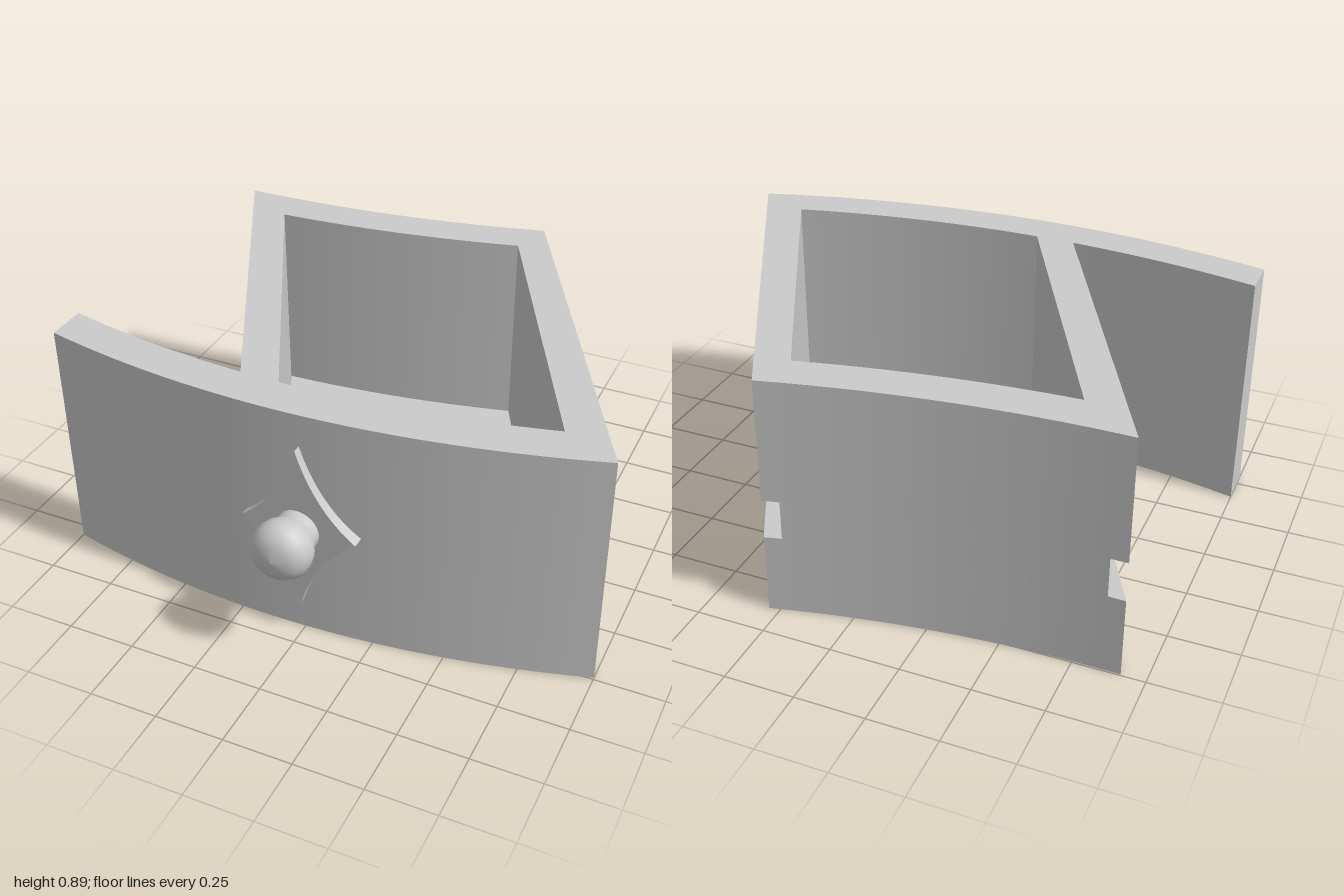
import * as THREE from 'three';
import { mergeGeometries, toCreasedNormals } from 'three/addons/utils/BufferGeometryUtils.js';

const H = 0.89, FLOOR = 0.13, SLOT_LOW = 0.295, SLOT_HIGH = 0.44, SLOT_DEPTH = 0.06;

// plan curves: z as a function of x
const frontOuter = x => 0.66 - 0.138 * (x + 0.108) ** 2;
const frontInner = x => frontOuter(x) - 0.15;
const backOuter = x => -0.744 - 0.115 * (x + 0.82) ** 2;
const backInner = x => backOuter(x) + 0.149;

// points [x, z] along a plan curve
function along(curve, x0, x1, n = 24) {
  return Array.from({ length: n + 1 }, (_, i) => {
    const x = x0 + (x1 - x0) * i / n;
    return [x, curve(x)];
  });
}

// vertical faces around a closed plan outline (inward: faces the inside)
function walls(outline, y0, y1, inward = false) {
  const pos = [];
  outline.forEach((p, i) => {
    let a = p, b = outline[(i + 1) % outline.length];
    if (inward) [a, b] = [b, a];
    pos.push(a[0], y0, a[1], b[0], y0, b[1], b[0], y1, b[1]);
    pos.push(a[0], y0, a[1], b[0], y1, b[1], a[0], y1, a[1]);
  });
  const g = new THREE.BufferGeometry();
  g.setAttribute('position', new THREE.Float32BufferAttribute(pos, 3));
  return g;
}

// horizontal face, looking up or down, with an optional hole
function cap(outline, y, up, hole) {
  const s = up ? -1 : 1;
  const toPlan = pts => pts.map(([x, z]) => new THREE.Vector2(x, z * s));
  const shape = new THREE.Shape(toPlan(outline));
  if (hole) shape.holes.push(new THREE.Path(toPlan(hole)));
  const g = new THREE.ShapeGeometry(shape).toNonIndexed();
  g.rotateX(s * Math.PI / 2).translate(0, y, 0);
  g.deleteAttribute('uv');
  g.deleteAttribute('normal');
  return g;
}

export function createModel() {
  const group = new THREE.Group();
  const material = new THREE.MeshStandardMaterial({ color: 0xcccccc });
  const add = (name, geometry) => {
    const mesh = new THREE.Mesh(geometry, material);
    mesh.name = name;
    group.add(mesh);
    return mesh;
  };

  // slanted drawer box whose curved front overhangs on one side
  const front = along(frontOuter, -1, 1);
  const overhang = along(frontInner, -0.29, -1, 12);
  const outline = [...front, ...along(backOuter, 0.29, -0.915), ...overhang];
  const cavity = [...along(frontInner, -0.145, 0.8), ...along(backInner, 0.24, -0.7)];

  // runner slots, cut from the back up to the inside of the front
  const rightSlot = [[0.93, frontInner(0.93)], [0.29, backOuter(0.29)],
    [0.29 - SLOT_DEPTH, backOuter(0.29 - SLOT_DEPTH)], [0.93 - SLOT_DEPTH, frontInner(0.93 - SLOT_DEPTH)]];
  const leftSlot = [[-0.915, backOuter(-0.915)], [-0.29, frontInner(-0.29)],
    [-0.29 + SLOT_DEPTH, frontInner(-0.29 + SLOT_DEPTH)], [-0.915 + SLOT_DEPTH, backOuter(-0.915 + SLOT_DEPTH)]];
  const slotted = [...front, rightSlot[0], rightSlot[3],
    ...along(backOuter, 0.29 - SLOT_DEPTH, -0.915 + SLOT_DEPTH), leftSlot[2], ...overhang];

  const faces = [
    walls(outline, 0, SLOT_LOW),
    walls(slotted, SLOT_LOW, SLOT_HIGH),
    walls(outline, SLOT_HIGH, H),
    walls(cavity, FLOOR, H, true),
    cap(outline, 0, false),
    cap(outline, H, true, cavity),
    cap(cavity, FLOOR, true),
  ];
  for (const slot of [rightSlot, leftSlot]) {
    faces.push(cap(slot, SLOT_LOW, true), cap(slot, SLOT_HIGH, false));
  }
  add('drawerBox', toCreasedNormals(mergeGeometries(faces), 0.4));

  // four-pointed plate with concave edges
  const w = 0.212, h = 0.32;
  const star = new THREE.Shape();
  star.moveTo(w, 0);
  for (const [cx, cy, x, y] of [[1, 1, 0, h], [-1, 1, -w, 0], [-1, -1, 0, -h], [1, -1, w, 0]]) {
    star.quadraticCurveTo(cx * 0.065, cy * 0.105, x, y);
  }
  const plate = new THREE.ExtrudeGeometry(star, { depth: 0.07, bevelEnabled: false, curveSegments: 10 });
  add('knobPlate', toCreasedNormals(plate, 0.4)).position.set(0, 0.45, 0.62);

  // turned knob, [radius, z] from neck to tip
  const profile = [[0.08, 0.68], [0.079, 0.72], [0.088, 0.74], [0.101, 0.763], [0.108, 0.795],
    [0.103, 0.825], [0.085, 0.855], [0.05, 0.874], [0, 0.882]];
  const knob = new THREE.LatheGeometry(profile.map(([r, z]) => new THREE.Vector2(r, z)), 32);
  knob.rotateX(Math.PI / 2);
  add('knob', knob).position.y = 0.45;

  return group;
}
